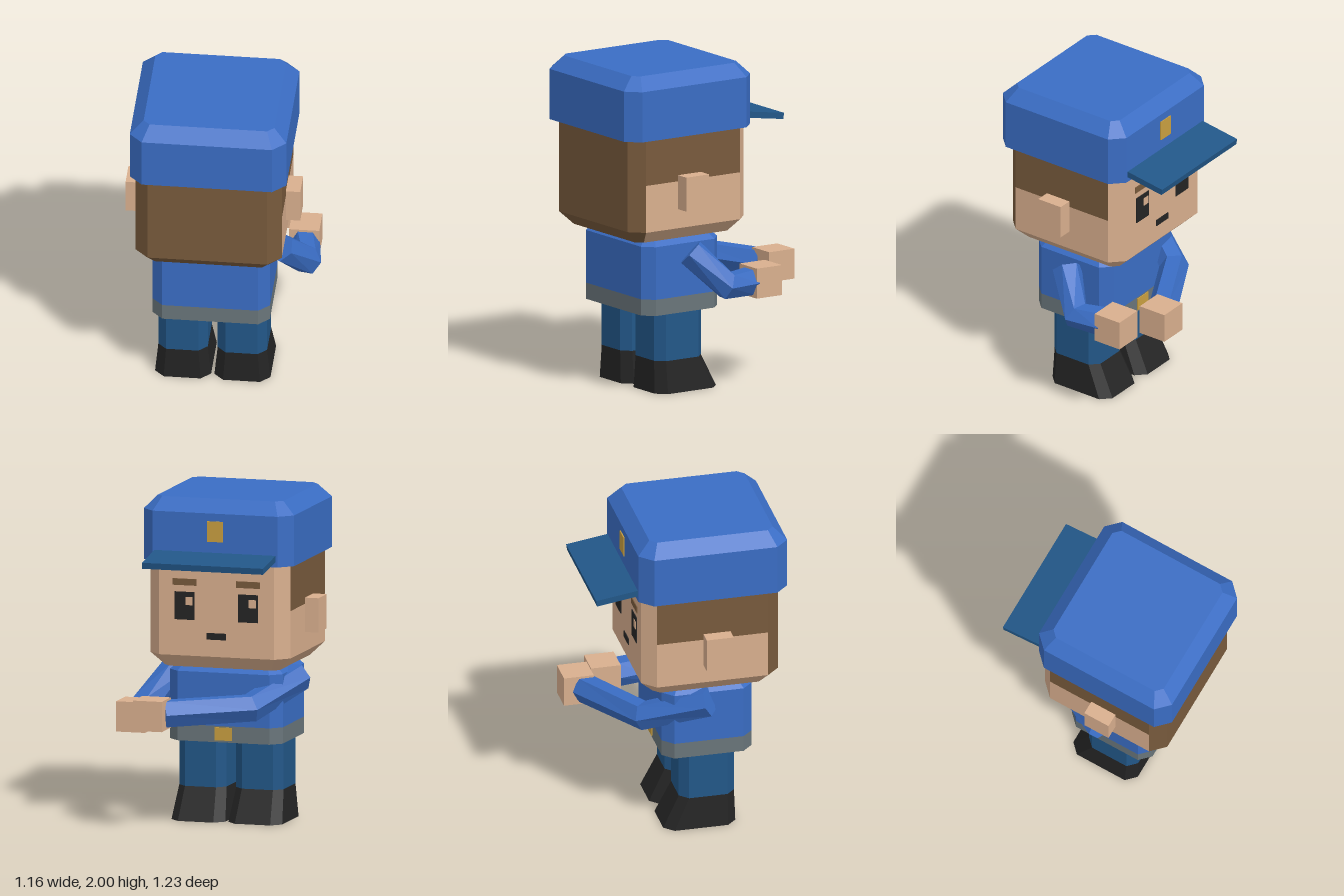
import * as THREE from 'three';

const mat = (name, color, side = THREE.FrontSide) => {
  const m = new THREE.MeshStandardMaterial({ color, side, flatShading: true });
  m.name = name;
  return m;
};

// Chamfered rectangle, as a ring of eight points at height y.
// Edges: 0 +x, 1 corner, 2 +z, 3 corner, 4 -x, 5 corner, 6 -z, 7 corner.
function ring(y, x0, x1, z0, z1, c) {
  return [
    [x1, z0 + c], [x1, z1 - c], [x1 - c, z1], [x0 + c, z1],
    [x0, z1 - c], [x0, z0 + c], [x0 + c, z0], [x1 - c, z0],
  ].map(([x, z]) => new THREE.Vector3(x, y, z));
}

// Joins rings into a faceted solid; pick(level, edge) gives the material index.
function loft(rings, { bottom = true, top = true, pick = () => 0 } = {}) {
  const buckets = [[], []];
  const tri = (k, ...pts) => pts.forEach((p) => buckets[k].push(p.x, p.y, p.z));
  const n = rings[0].length;
  for (let l = 0; l < rings.length - 1; l++) {
    const lo = rings[l], up = rings[l + 1];
    for (let i = 0; i < n; i++) {
      const j = (i + 1) % n, k = pick(l, i);
      tri(k, lo[j], lo[i], up[i]);
      tri(k, lo[j], up[i], up[j]);
    }
  }
  const last = rings[rings.length - 1];
  for (let i = 1; i < n - 1; i++) {
    if (bottom) tri(0, rings[0][0], rings[0][i], rings[0][i + 1]);
    if (top) tri(0, last[0], last[i + 1], last[i]);
  }
  const g = new THREE.BufferGeometry();
  g.setAttribute('position', new THREE.Float32BufferAttribute([...buckets[0], ...buckets[1]], 3));
  g.addGroup(0, buckets[0].length / 3, 0);
  if (buckets[1].length) g.addGroup(buckets[0].length / 3, buckets[1].length / 3, 1);
  g.computeVertexNormals();
  return g;
}

// Six-sided limb along a bent path.
function limb(points, radius) {
  const p = points.map((a) => new THREE.Vector3(...a));
  const rings = p.map((c, i) => {
    const t = new THREE.Vector3();
    if (i > 0) t.add(p[i].clone().sub(p[i - 1]).normalize());
    if (i < p.length - 1) t.add(p[i + 1].clone().sub(p[i]).normalize());
    t.normalize();
    const e1 = new THREE.Vector3(0, 1, 0).cross(t).normalize();
    const e2 = e1.clone().cross(t);
    return Array.from({ length: 6 }, (_, k) => {
      const a = (k * Math.PI) / 3;
      return c.clone().addScaledVector(e1, radius * Math.cos(a)).addScaledVector(e2, radius * Math.sin(a));
    });
  });
  return loft(rings);
}

export function createModel() {
  const model = new THREE.Group();
  const blue = mat('uniform blue', 0x3a6dc4);
  const navy = mat('navy', 0x225788, THREE.DoubleSide);
  const skin = mat('skin', 0xd9af8e);
  const hair = mat('hair brown', 0x785a3c);
  const black = mat('black', 0x242424, THREE.DoubleSide);
  const grey = mat('belt grey', 0x69757a);
  const gold = mat('gold', 0xc99f40);

  const add = (name, geometry, material, parent = model) => {
    const m = new THREE.Mesh(geometry, material);
    m.name = name;
    parent.add(m);
    return m;
  };
  const box = (name, size, pos, material) => {
    const m = add(name, new THREE.BoxGeometry(...size), material);
    m.position.set(...pos);
    return m;
  };
  const cx = -0.05; // body centre line

  // Cap with bevelled top, sloping brim and badge
  add('cap', loft([
    ring(1.61, -0.525, 0.425, -0.31, 0.615, 0.08),
    ring(1.92, -0.525, 0.425, -0.31, 0.615, 0.08),
    ring(2.0, -0.445, 0.348, -0.232, 0.535, 0.04),
  ]), blue);
  box('capBrim', [0.765, 0.038, 0.27], [cx, 1.643, -0.432], navy).rotation.x = -0.15;
  box('capBadge', [0.1, 0.125, 0.009], [cx, 1.81, -0.312], gold);

  // Head: hair covers the back and the upper sides
  add('head', loft([
    ring(0.96, -0.415, 0.31, -0.205, 0.485, 0.04),
    ring(1.04, -0.495, 0.392, -0.285, 0.565, 0.08),
    ring(1.33, -0.495, 0.392, -0.285, 0.565, 0.08),
    ring(1.61, -0.495, 0.392, -0.285, 0.565, 0.08),
  ], {
    pick: (level, edge) => ((edge >= 1 && edge <= 3) || (level === 2 && (edge === 0 || edge === 4)) ? 1 : 0),
  }), [skin, hair]);

  // Face
  box('mouth', [0.12, 0.04, 0.009], [cx, 1.165, -0.286], black);
  for (const s of [1, -1]) {
    const side = s > 0 ? 'left' : 'right';
    box(side + 'Ear', [0.1, 0.21, 0.168], [cx + s * 0.48, 1.263, 0.167], skin);
    const x = cx + s * 0.2;
    box(side + 'Eye', [0.125, 0.17, 0.009], [x, 1.345, -0.286], black);
    box(side + 'EyeGlint', [0.045, 0.05, 0.009], [x - 0.03, 1.375, -0.289], skin);
    box(side + 'Eyebrow', [0.15, 0.04, 0.009], [x, 1.49, -0.286], hair);
  }

  // Torso with belt band and buckle
  add('torso', loft([
    ring(0.495, -0.405, 0.307, -0.14, 0.42, 0.065),
    ring(0.595, -0.405, 0.307, -0.14, 0.42, 0.065),
    ring(0.92, -0.405, 0.307, -0.14, 0.42, 0.065),
    ring(0.96, -0.365, 0.267, -0.1, 0.38, 0.05),
  ], { pick: (level) => (level === 0 ? 1 : 0) }), [blue, grey]);
  box('beltBuckle', [0.11, 0.08, 0.009], [cx, 0.547, -0.141], gold);

  // Legs and open-soled boots
  for (const s of [1, -1]) {
    const side = s > 0 ? 'left' : 'right';
    const x = cx + s * 0.18, w = 0.15;
    const ankle = ring(0.2, x - w, x + w, -0.03, 0.313, 0.052);
    add(side + 'Leg', loft([ankle, ring(0.5, x - w, x + w, -0.03, 0.313, 0.052)], { bottom: false }), navy);
    add(side + 'Boot', loft([
      ring(0, x - 0.17, x + 0.17, -0.13, 0.318, 0.058), ankle,
    ], { bottom: false, top: false }), black);
  }

  // Arms reach forward, one across the body
  add('leftArm', limb([[0.35, 0.87, 0.13], [0.49, 0.667, -0.04], [0.46, 0.667, -0.23]], 0.09), blue);
  box('leftHand', [0.183, 0.185, 0.185], [0.455, 0.667, -0.313], skin);
  add('rightArm', limb([[-0.45, 0.88, 0.13], [-0.25, 0.73, -0.23], [0.22, 0.712, -0.485]], 0.09), blue);
  box('rightHand', [0.183, 0.185, 0.185], [0.283, 0.712, -0.523], skin);

  return model;
}
